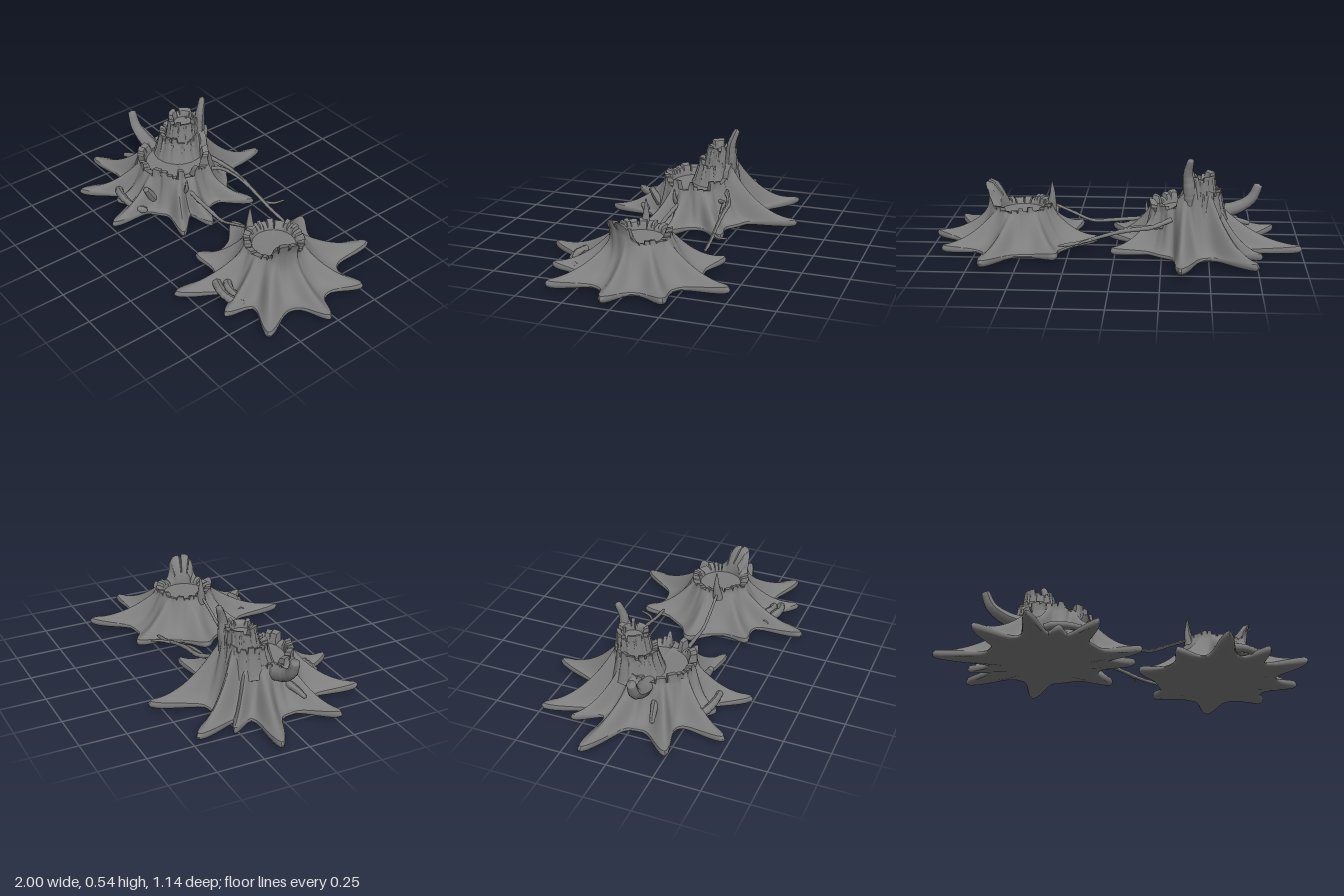
import * as THREE from 'three';
import { toCreasedNormals } from 'three/addons/utils/BufferGeometryUtils.js';

const material = new THREE.MeshStandardMaterial({ color: 0x7e7e7e, side: THREE.DoubleSide });
const SEG = 288;
const hash = (n) => { const s = Math.sin(n * 127.1 + 11.7) * 43758.5453; return s - Math.floor(s); };
const angleGap = (a, b) => Math.abs(Math.atan2(Math.sin(a - b), Math.cos(a - b)));
const lerp = THREE.MathUtils.lerp;

// Hollow jagged stump: floor, inner wall, toothed rim, flared roots, underside
function stump(name, o) {
  const rows = [];
  const row = (fn) => rows.push(Array.from({ length: SEG }, (_, j) => fn(j)));

  // per-angle data: root reach, smooth shoulder height, toothed rim height, lean of tall splinters
  const data = Array.from({ length: SEG }, (_, j) => {
    const a = (j / SEG) * Math.PI * 2;
    let reach = o.base, k = 0;
    for (const [x, z, w = 0.3] of o.roots ?? []) {
      const dx = x - o.center[0], dz = z - o.center[1];
      const g = Math.exp(-Math.pow(2.15 * angleGap(a, Math.atan2(dz, dx)) / w, 1.75));
      reach = Math.max(reach, o.base + (Math.hypot(dx, dz) - o.base) * g);
      k = Math.max(k, g);
    }
    const slot = a / (Math.PI * 2) * o.teeth + 0.4 * Math.sin(a * 5 + o.seed);
    const gap = slot - Math.floor(slot) < 0.12;
    const tooth = (hash(Math.floor(slot) + o.seed) - 0.5) * o.jag - (gap ? 0.02 : 0);
    let shoulder = o.rimY - 0.02;
    for (const [ang, w, h] of o.rises ?? []) shoulder += h * Math.exp(-Math.pow(angleGap(a, ang) / w, 2));
    let splinter = 0, lean = 0;
    for (const [ang, w, h, l] of o.splinters ?? []) {
      const g = Math.exp(-Math.pow(angleGap(a, ang) / w, 4));
      splinter += h * g;
      lean += l * g;
    }
    const groove = (o.groove ?? 0.004) * (Math.sin(a * 17) + 0.6 * Math.sin(a * 29 + 1));
    return { c: Math.cos(a), s: Math.sin(a), reach, k, shoulder, splinter, lean, groove,
      high: shoulder + 0.02 + tooth + splinter };
  });
  const at = (d, r, t, y) => [
    lerp(o.rimCenter[0], o.center[0], t) + d.c * r, (o.y ?? 0) + y,
    lerp(o.rimCenter[1], o.center[1], t) + d.s * r];
  const inner = o.rim - o.wall;

  row((j) => at(data[j], 0, 0, o.floor));
  row((j) => at(data[j], inner * 0.96, 0, o.floor));
  row((j) => at(data[j], inner, 0, lerp(o.floor, data[j].high, 0.5)));
  row((j) => at(data[j], inner + data[j].lean + o.wall * 0.2, 0, data[j].high - 0.008));
  row((j) => at(data[j], o.rim + data[j].lean, 0, data[j].high));
  // outer flare: splinters fade out quickly below the rim
  for (let i = 0; i <= 20; i++) {
    const t = Math.pow(i / 20, 1.4) * 0.97, fade = Math.pow(1 - t, 14);
    row((j) => {
      const d = data[j], edge = o.edge * (0.55 + 0.45 * d.k);
      const r = o.rim + (d.reach - o.rim) * t + d.lean * 0.6 * fade + d.groove * (1 - t);
      return at(d, r, t, edge + (d.shoulder - edge) * Math.pow(1 - t, o.power) + d.splinter * 0.7 * fade);
    });
  }
  for (const [t, y] of [[1, 0.75], [0.99, 0.5], [0.96, 0.35], [0.8, 0.2], [0.6, 0], [0, 0]])
    row((j) => at(data[j], data[j].reach * t, 1, o.edge * y * (0.55 + 0.45 * data[j].k)));

  const index = [];
  for (let i = 0; i < rows.length - 1; i++) for (let j = 0; j < SEG; j++) {
    const n = (j + 1) % SEG, a = i * SEG, b = a + SEG;
    index.push(a + j, a + n, b + j, a + n, b + n, b + j);
  }
  const geo = new THREE.BufferGeometry();
  geo.setAttribute('position', new THREE.Float32BufferAttribute(rows.flat(2), 3));
  geo.setIndex(index);
  const mesh = new THREE.Mesh(toCreasedNormals(geo, 0.8), material);
  mesh.name = name;
  return mesh;
}

// Tapered tube through points, closed at the far end
function branch(name, points, r0, r1, wobble = 0) {
  const curve = new THREE.CatmullRomCurve3(points.map((p) => new THREE.Vector3(...p)));
  const n = 32, sides = 8, geo = new THREE.TubeGeometry(curve, n, 1, sides);
  const pos = geo.attributes.position, v = new THREE.Vector3();
  for (let i = 0; i <= n; i++) {
    const mid = curve.getPointAt(i / n);
    const r = i === n ? 0 : lerp(r0, r1, i / n) * (1 + wobble * (hash(i) - 0.5));
    for (let j = 0; j <= sides; j++) {
      const q = i * (sides + 1) + j;
      v.fromBufferAttribute(pos, q).sub(mid).multiplyScalar(r).add(mid);
      pos.setXYZ(q, v.x, v.y, v.z);
    }
  }
  geo.computeVertexNormals();
  const mesh = new THREE.Mesh(geo, material);
  mesh.name = name;
  return mesh;
}

export function createModel() {
  const model = new THREE.Group();
  model.name = 'treeStumps';

  const tall = new THREE.Group();
  tall.name = 'tallStump';
  tall.add(
    stump('tallStumpBase', {
      center: [-0.42, 0], rimCenter: [-0.385, 0.02], base: 0.315, rim: 0.2, wall: 0.04,
      rimY: 0.24, floor: 0.205, jag: 0.06, teeth: 30, seed: 3, edge: 0.06, power: 2.2, groove: 0.006,
      roots: [[-1, -0.15, 0.26], [-0.75, -0.485, 0.27], [-0.35, -0.575, 0.27], [0.02, -0.24, 0.25],
        [0.05, 0.07, 0.26], [0.03, 0.25, 0.24], [-0.28, 0.51, 0.25], [-0.45, 0.37, 0.25],
        [-0.65, 0.49, 0.26], [-0.87, 0.26, 0.28], [-0.78, -0.3, 0.17]],
      rises: [[-1.9, 0.6, 0.16]],
      splinters: [[-0.1, 0.06, 0.03, 0.01]],
    }),
    // stepped broken trunk rising at the back
    stump('lowerTrunk', {
      center: [-0.45, -0.06], rimCenter: [-0.455, -0.07], base: 0.15, rim: 0.11, wall: 0.03,
      y: 0.18, rimY: 0.15, floor: 0.13, jag: 0.05, teeth: 10, seed: 9, edge: 0.01, power: 1.3,
      rises: [[-1.3, 0.7, 0.04]],
    }),
    stump('upperTrunk', {
      center: [-0.445, -0.085], rimCenter: [-0.445, -0.095], base: 0.1, rim: 0.082, wall: 0.028,
      y: 0.28, rimY: 0.145, floor: 0.11, jag: 0.035, teeth: 9, seed: 21, edge: 0.01, power: 1.1,
      groove: 0.003,
    }),
    branch('trunkSplinter', [[-0.4, 0.26, -0.15], [-0.395, 0.36, -0.165], [-0.385, 0.45, -0.17],
      [-0.4, 0.54, -0.2]], 0.045, 0.016, 0.1),
    branch('sideBranch', [[-0.54, 0.19, 0.03], [-0.65, 0.215, 0.035], [-0.73, 0.265, 0.04],
      [-0.77, 0.35, 0.04]], 0.045, 0.024, 0.06),
    branch('frontStub', [[-0.3, 0.08, 0.22], [-0.29, 0.13, 0.25], [-0.285, 0.18, 0.28]], 0.028, 0.016),
    branch('sideTwig', [[-0.2, 0.12, 0.08], [-0.165, 0.17, 0.09], [-0.16, 0.23, 0.09]], 0.018, 0.004),
    branch('leftTwig', [[-0.58, 0.13, 0.09], [-0.66, 0.12, 0.11], [-0.73, 0.1, 0.13]], 0.025, 0.012),
    branch('frontRootLoop', [[-0.54, 0.05, 0.29], [-0.48, 0.065, 0.33], [-0.4, 0.07, 0.345],
      [-0.31, 0.065, 0.335], [-0.26, 0.05, 0.29]], 0.022, 0.018, 0.25),
  );

  const low = new THREE.Group();
  low.name = 'lowStump';
  low.add(
    stump('lowStumpBase', {
      center: [0.53, 0.02], rimCenter: [0.515, 0.025], base: 0.325, rim: 0.16, wall: 0.04,
      rimY: 0.23, floor: 0.19, jag: 0.03, teeth: 26, seed: 40, edge: 0.06, power: 2.1, groove: 0.002,
      roots: [[0.68, -0.5], [0.92, -0.24], [1, 0.05, 0.28], [0.91, 0.38], [0.66, 0.46, 0.25],
        [0.38, 0.57, 0.27], [0.2, 0.3], [0.1, -0.02, 0.38], [0.3, -0.36, 0.32]],
      splinters: [[0.33, 0.42, 0.11, 0.05]],
    }),
    branch('rimSpike', [[0.365, 0.18, 0.065], [0.355, 0.26, 0.06], [0.357, 0.345, 0.06]], 0.032, 0.003),
    branch('frontRootLoop', [[0.4, 0.045, 0.34], [0.47, 0.06, 0.36], [0.55, 0.06, 0.38],
      [0.62, 0.05, 0.36], [0.65, 0.04, 0.32]], 0.026, 0.02, 0.25),
    branch('frontRootBark', [[0.46, 0.05, 0.29], [0.53, 0.06, 0.33], [0.62, 0.05, 0.33]], 0.024, 0.018, 0.3),
  );

  // thin vines hanging between the stumps
  const vines = new THREE.Group();
  vines.name = 'vines';
  vines.add(
    branch('frontVine', [[-0.22, 0.15, 0.06], [-0.1, 0.135, 0.07], [0.02, 0.125, 0.07], [0.13, 0.12, 0.07],
      [0.24, 0.165, 0.07], [0.37, 0.225, 0.065]], 0.012, 0.007, 0.3),
    branch('backVine', [[-0.3, 0.2, -0.17], [-0.2, 0.17, -0.215], [-0.05, 0.15, -0.225], [0.08, 0.115, -0.23],
      [0.18, 0.085, -0.235], [0.3, 0.065, -0.24]], 0.013, 0.009, 0.3),
    branch('backVineFork', [[-0.27, 0.15, -0.12], [-0.22, 0.16, -0.18], [-0.1, 0.165, -0.205],
      [0.02, 0.13, -0.228]], 0.012, 0.007, 0.3),
    branch('vineTwig', [[0.12, 0.1, -0.235], [0.16, 0.1, -0.27], [0.18, 0.105, -0.33]], 0.009, 0.005),
  );

  model.add(tall, low, vines);
  return model;
}
